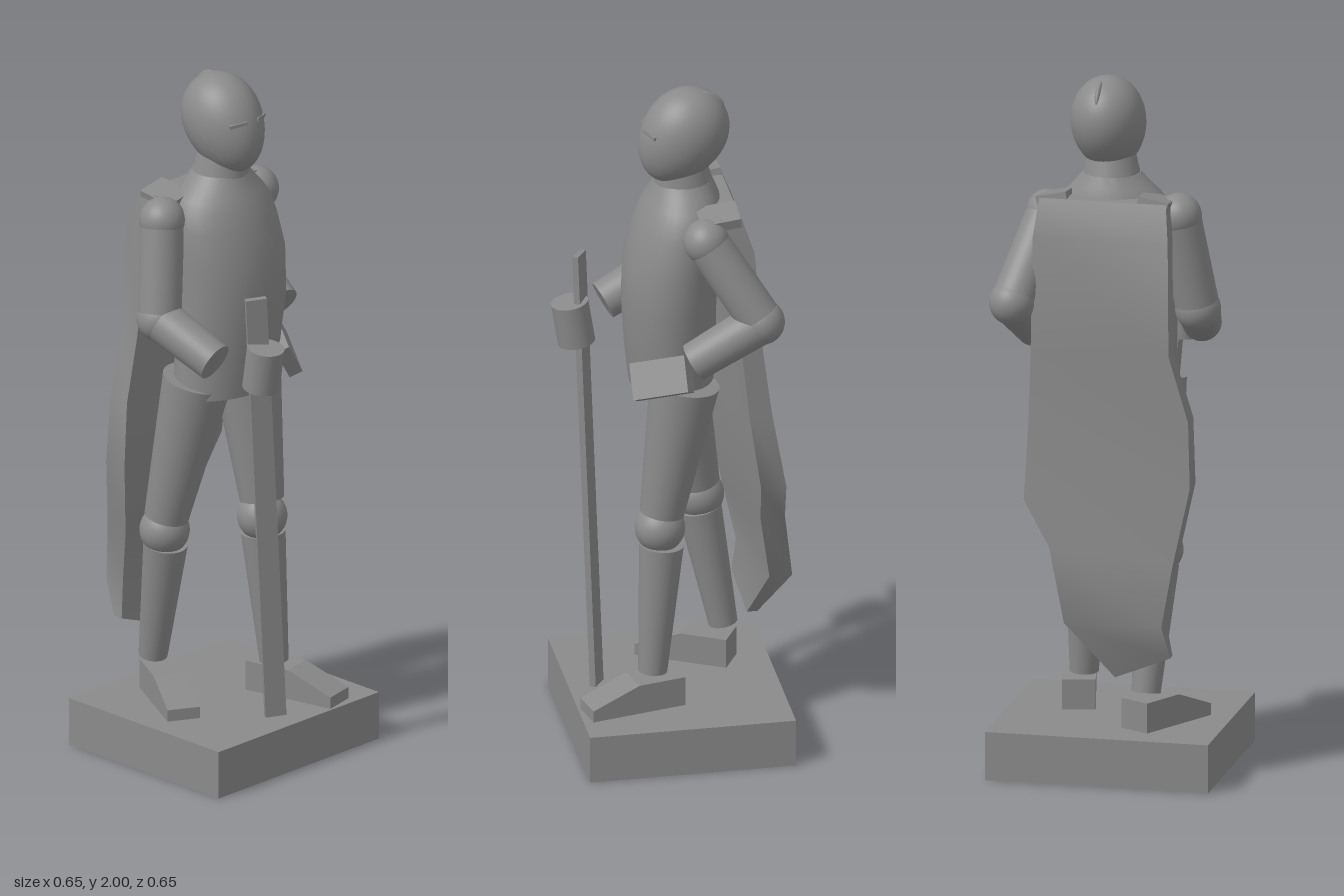
import * as THREE from 'three';
import { toCreasedNormals } from 'three/addons/utils/BufferGeometryUtils.js';

const grey = new THREE.MeshStandardMaterial({ color: 0x8a8a8a });
const V = (a) => new THREE.Vector3(...a);

export function createModel() {
  const model = new THREE.Group();

  const add = (name, geo, pos = [0, 0, 0], parent = model) => {
    const m = new THREE.Mesh(geo, grey);
    m.name = name;
    m.position.set(...pos);
    parent.add(m);
    return m;
  };

  // Tapered cylinder from a to b
  const limb = (name, a, b, ra, rb, parent) => {
    const d = V(b).sub(V(a));
    const m = add(name, new THREE.CylinderGeometry(rb, ra, d.length(), 32), [0, 0, 0], parent);
    m.position.copy(V(a).addScaledVector(d, 0.5));
    m.quaternion.setFromUnitVectors(new THREE.Vector3(0, 1, 0), d.normalize());
    return m;
  };
  const ball = (name, p, r, parent) => add(name, new THREE.SphereGeometry(r, 32, 20), p, parent);

  // Box whose length runs along "along" and whose width runs close to "across"
  const orientedBox = (name, size, pos, along, across) => {
    const m = add(name, new THREE.BoxGeometry(...size), pos);
    const z = V(along).normalize();
    const y = new THREE.Vector3().crossVectors(z, V(across)).normalize();
    const x = new THREE.Vector3().crossVectors(y, z);
    m.quaternion.setFromRotationMatrix(new THREE.Matrix4().makeBasis(x, y, z));
    return m;
  };

  // Skin closed rings of equal point count, with end caps
  const loft = (rings) => {
    const n = rings[0].length, pos = rings.flat(2), idx = [];
    for (let i = 0; i < rings.length - 1; i++)
      for (let j = 0; j < n; j++) {
        const a = i * n + j, b = i * n + (j + 1) % n;
        idx.push(a, b, a + n, b, b + n, a + n);
      }
    const last = (rings.length - 1) * n;
    for (let j = 1; j < n - 1; j++) idx.push(0, j + 1, j, last, last + j, last + j + 1);
    const g = new THREE.BufferGeometry();
    g.setAttribute('position', new THREE.Float32BufferAttribute(pos, 3));
    g.setIndex(idx);
    return toCreasedNormals(g, 0.75);
  };

  // Square plinth
  add('base', new THREE.BoxGeometry(0.642, 0.14, 0.588), [-0.006, 0.07, 0.002]);

  // Torso and sloping shoulders from ellipse sections:
  // y, centre x, half width, centre z, half depth
  const sections = [
    [1.085, -0.01, 0.165, 0.005, 0.118], [1.2, 0.0, 0.168, 0.01, 0.127], [1.35, 0.01, 0.174, 0.015, 0.133],
    [1.48, 0.01, 0.176, 0.008, 0.135], [1.58, 0.005, 0.17, -0.01, 0.125], [1.63, 0.005, 0.158, -0.02, 0.116],
    [1.66, 0.005, 0.138, -0.025, 0.106], [1.69, 0.008, 0.108, -0.028, 0.092], [1.72, 0.01, 0.082, -0.028, 0.079],
  ];
  add('torso', loft(sections.map(([y, cx, rx, cz, rz]) =>
    Array.from({ length: 32 }, (_, i) => {
      const a = -i / 32 * Math.PI * 2;
      return [cx + rx * Math.cos(a), y, cz + rz * Math.sin(a)];
    }))));
  limb('neck', [0.01, 1.69, -0.028], [0.015, 1.78, -0.02], 0.086, 0.068);

  // Tilted egg-shaped head, narrower at the chin
  const egg = new THREE.SphereGeometry(1, 40, 28);
  const p = egg.attributes.position;
  for (let i = 0; i < p.count; i++) {
    const y = p.getY(i), t = 1 + 0.1 * y;
    p.setXYZ(i, p.getX(i) * 0.105 * t, y * 0.148, p.getZ(i) * 0.119 * t);
  }
  egg.computeVertexNormals();
  add('head', egg, [0.02, 1.857, -0.022]).rotation.x = -0.6;
  const crest = add('crest', new THREE.SphereGeometry(1, 20, 14), [0.03, 1.953, -0.095]);
  crest.scale.set(0.012, 0.035, 0.05);
  crest.rotation.x = -0.6;
  // Narrow brow edges above the eyes
  for (const s of [-1, 1]) {
    const brow = add('brow', new THREE.BoxGeometry(0.055, 0.01, 0.02), [0.018 + s * 0.042, 1.886, 0.073]);
    brow.rotation.set(0, s * 0.42, -s * 0.12);
  }

  // Legs, the left one forward
  const legs = [
    { name: 'leftLeg', hip: [0.098, 1.12, -0.015], low: [0.097, 0.72, 0.05], knee: [0.093, 0.67, 0.055], shin: [0.1, 0.62, 0.052], ankle: [0.115, 0.235, 0.08], foot: [0.144, 0.142], turn: 0.22, len: 0.28 },
    { name: 'rightLeg', hip: [-0.1, 1.12, -0.01], low: [-0.138, 0.69, -0.095], knee: [-0.14, 0.65, -0.1], shin: [-0.136, 0.61, -0.1], ankle: [-0.12, 0.25, -0.165], foot: [-0.155, -0.065], turn: -0.5, len: 0.27 },
  ];
  for (const l of legs) {
    const g = new THREE.Group();
    g.name = l.name;
    model.add(g);
    limb('thigh', l.hip, l.low, 0.099, 0.063, g);
    ball('knee', l.knee, 0.071, g);
    limb('shin', l.shin, l.ankle, 0.063, 0.041, g);
    // Wedge foot, profile drawn from heel to toe
    const h = l.len / 2;
    const shape = new THREE.Shape([[-h, 0], [h, 0], [h, 0.035], [0, 0.088], [-h, 0.088]].map(q => new THREE.Vector2(...q)));
    const fg = new THREE.ExtrudeGeometry(shape, { depth: 0.095, bevelEnabled: false });
    fg.translate(0, 0, -0.0475).rotateY(-Math.PI / 2);
    add('foot', fg, [l.foot[0], 0.139, l.foot[1]], g).rotation.y = l.turn;
  }

  // Arms
  const arms = [
    { name: 'leftArm', shoulder: [0.185, 1.6, -0.06], elbow: [0.257, 1.37, -0.205], wrist: [0.235, 1.25, -0.015] },
    { name: 'rightArm', shoulder: [-0.19, 1.61, -0.06], elbow: [-0.237, 1.335, -0.025], wrist: [-0.205, 1.245, 0.162] },
  ];
  for (const a of arms) {
    const g = new THREE.Group();
    g.name = a.name;
    model.add(g);
    ball('shoulder', a.shoulder, 0.065, g);
    limb('upperArm', a.shoulder, a.elbow, 0.062, 0.062, g);
    ball('elbow', a.elbow, 0.065, g);
    limb('forearm', a.elbow, a.wrist, 0.062, 0.056, g);
  }
  orientedBox('leftHand', [0.105, 0.04, 0.172], [0.163, 1.172, 0.063], [-0.085, -0.055, 0.145], [0.055, -0.09, 0]);
  limb('rightHand', [-0.115, 1.17, 0.254], [-0.116, 1.295, 0.274], 0.053, 0.053);

  // Slim sword standing on the base
  orientedBox('sword', [0.06, 0.018, 1.3], [-0.072, 0.79, 0.23], [0.11, -1.3, -0.03], [0.85, 0, 0.53]);

  // Cape rows, top to bottom: right edge, left edge (outer face), thickness
  const cape = [
    [[-0.175, 1.665, -0.158], [0.19, 1.665, -0.158], 0.06],
    [[-0.19, 1.56, -0.2], [0.2, 1.56, -0.195], 0.06],
    [[-0.195, 1.24, -0.212], [0.2, 1.24, -0.22], 0.06],
    [[-0.25, 1.05, -0.205], [0.2, 1.05, -0.245], 0.065],
    [[-0.257, 0.86, -0.215], [0.205, 0.82, -0.285], 0.072],
    [[-0.215, 0.64, -0.25], [0.13, 0.69, -0.295], 0.07],
    [[-0.19, 0.47, -0.28], [0.08, 0.48, -0.325], 0.065],
    [[-0.205, 0.37, -0.235], [-0.05, 0.31, -0.25], 0.03],
  ];
  add('cape', loft(cape.map(([r, l, t]) => [
    r, l, [l[0], l[1], l[2] + t], [r[0], r[1], r[2] + t],
  ])));

  // Cape straps over the shoulders, sloping outward
  for (const s of [-1, 1])
    add('capeStrap', new THREE.BoxGeometry(0.088, 0.03, 0.115), [0.01 + s * 0.145, 1.656, -0.1]).rotation.set(0.12, 0, -s * 0.2);

  return model;
}
